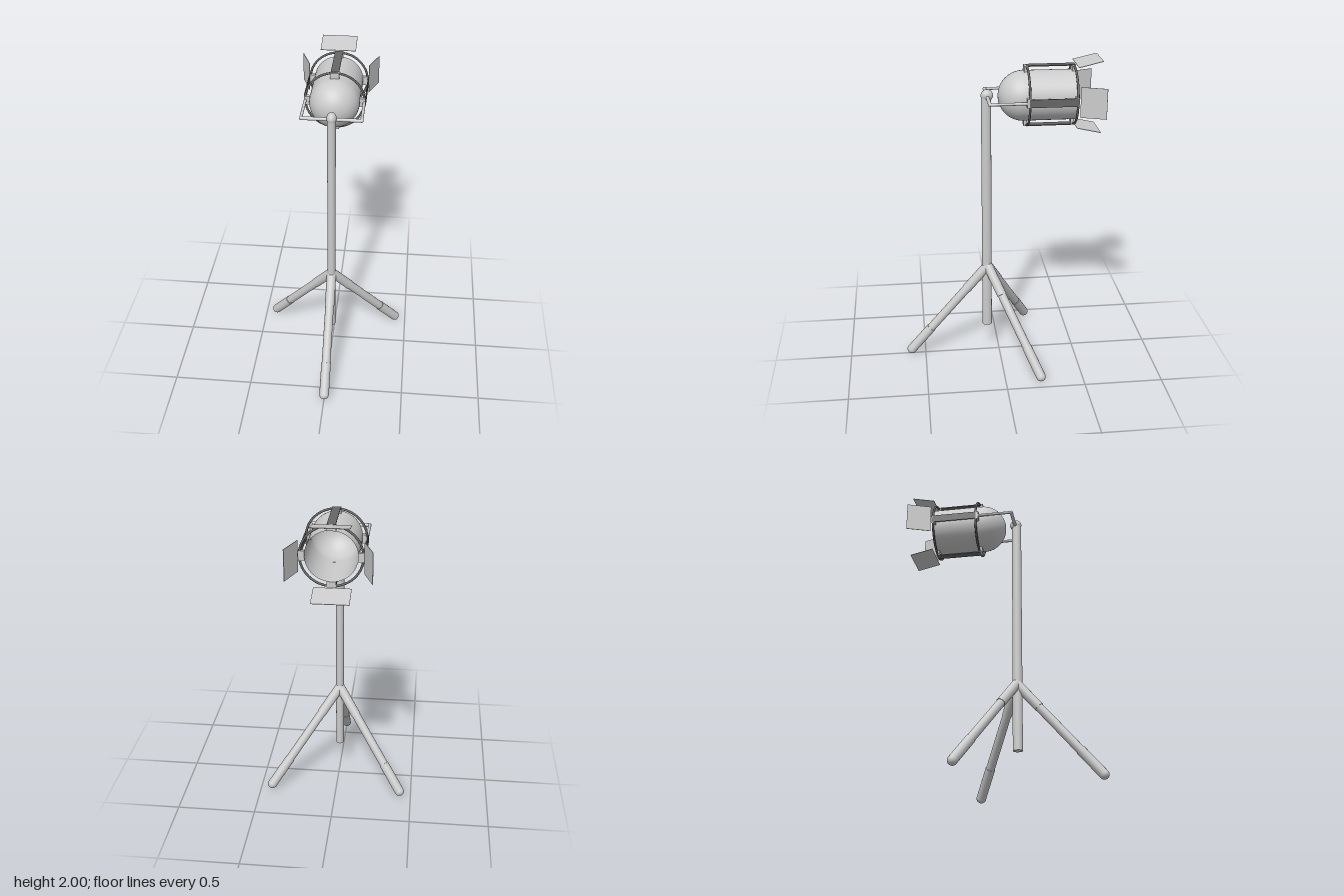
import * as THREE from 'three';

const grey = new THREE.MeshStandardMaterial({ color: 0xcccccc });
const greyThin = new THREE.MeshStandardMaterial({ color: 0xcccccc, side: THREE.DoubleSide });
const dark = new THREE.MeshStandardMaterial({ color: 0x666666 });
const UP = new THREE.Vector3(0, 1, 0);
const V = (x, y, z) => new THREE.Vector3(x, y, z);

function add(parent, name, geometry, material = grey) {
  const mesh = new THREE.Mesh(geometry, material);
  mesh.name = name;
  parent.add(mesh);
  return mesh;
}

// Round rod between two points
function rod(parent, name, a, b, r) {
  const mesh = add(parent, name, new THREE.CylinderGeometry(r, r, a.distanceTo(b), 16));
  mesh.position.copy(a).lerp(b, 0.5);
  mesh.quaternion.setFromUnitVectors(UP, b.clone().sub(a).normalize());
  return mesh;
}

// Telescopic leg: thick sleeves at both ends, a thinner middle tube, rounded foot
function leg(parent, name, hub, foot) {
  const group = new THREE.Group();
  group.name = name;
  parent.add(group);
  const upper = hub.clone().lerp(foot, 0.27);
  const lower = hub.clone().lerp(foot, 0.74);
  rod(group, 'upperSleeve', hub, upper, 0.031);
  rod(group, 'middleTube', upper, lower, 0.028);
  rod(group, 'lowerSleeve', lower, foot, 0.031);
  add(group, 'footTip', new THREE.SphereGeometry(0.031, 16, 12)).position.copy(foot);
  add(group, 'hubCap', new THREE.SphereGeometry(0.031, 16, 12)).position.copy(hub);
}

export function createModel() {
  const model = new THREE.Group();
  model.name = 'tripodSpotlight';

  // Centre pole, slightly flattened, with a ball joint on top
  const poleZ = 0.08, headY = 1.777;
  const pole = add(model, 'pole', new THREE.CylinderGeometry(0.031, 0.031, 1.577, 24));
  pole.scale.x = 0.84;
  pole.position.set(0, 0.9885, poleZ);
  const ball = add(model, 'ballJoint', new THREE.SphereGeometry(1, 24, 16));
  ball.scale.set(0.03, 0.037, 0.038);
  ball.position.set(0, 1.785, 0.075);

  // Tripod
  const hub = V(0, 0.635, 0.075);
  leg(model, 'frontLeg', hub, V(0, 0.031, 0.592));
  leg(model, 'leftLeg', hub, V(0.425, 0.031, -0.225));
  leg(model, 'rightLeg', hub, V(-0.425, 0.031, -0.225));

  // Yoke holding the lamp
  const yoke = new THREE.Group();
  yoke.name = 'yoke';
  model.add(yoke);
  const yokeZ = 0.073;
  rod(yoke, 'yokeBar', V(-0.182, headY, yokeZ), V(0.177, headY, yokeZ), 0.011);
  for (const x of [-0.182, 0.177]) {
    rod(yoke, 'yokeArm', V(x, headY, yokeZ), V(x, headY, -0.155), 0.009);
    add(yoke, 'yokeCorner', new THREE.SphereGeometry(0.011, 12, 8)).position.set(x, headY, yokeZ);
  }

  // Lamp head, its axis along z with the mouth towards -z
  const head = new THREE.Group();
  head.name = 'lampHead';
  head.position.set(-0.003, headY, 0);
  model.add(head);

  const R = 0.153, domeZ = -0.145, mouthZ = -0.46;
  const profile = [new THREE.Vector2(R, mouthZ), new THREE.Vector2(R, domeZ)];
  for (let i = 1; i <= 14; i++) {
    const a = (i / 14) * Math.PI / 2;
    profile.push(new THREE.Vector2(R * Math.cos(a), domeZ + R * Math.sin(a)));
  }
  add(head, 'housing', new THREE.LatheGeometry(profile, 48), greyThin).rotation.x = Math.PI / 2;

  // Cage rings
  const backRingZ = -0.167, frontRingZ = -0.455;
  for (const z of [backRingZ, frontRingZ]) {
    add(head, 'cageRing', new THREE.TorusGeometry(0.181, 0.007, 10, 48), dark).position.z = z;
  }

  // Four sides: cage strip, ring brackets and a flared barn door
  const sides = ['top', 'right', 'bottom', 'left'];
  sides.forEach((side, i) => {
    const quarter = new THREE.Group();
    quarter.name = side + 'Side';
    quarter.rotation.z = i * Math.PI / 2;
    head.add(quarter);

    const strip = add(quarter, 'cageStrip', new THREE.BoxGeometry(0.05, 0.006, 0.295), dark);
    strip.position.set(0, 0.186, (backRingZ + frontRingZ) / 2);

    for (const z of [-0.16, -0.452]) {
      const bracket = add(quarter, 'ringBracket', new THREE.BoxGeometry(0.055, 0.036, 0.022));
      bracket.position.set(0, 0.169, z);
    }

    const inner = V(0, 0.188, -0.468), outer = V(0, 0.222 + (i % 2) * 0.022, -0.617);
    const width = i % 2 ? 0.187 : 0.22;
    const door = add(quarter, 'barnDoor',
      new THREE.BoxGeometry(width, 0.003, inner.distanceTo(outer)), greyThin);
    door.position.copy(inner).lerp(outer, 0.5);
    door.position.x = i % 2 ? 0 : (i === 0 ? -0.007 : 0.007);
    door.rotation.x = Math.atan2(outer.y - inner.y, inner.z - outer.z);
  });

  return model;
}
